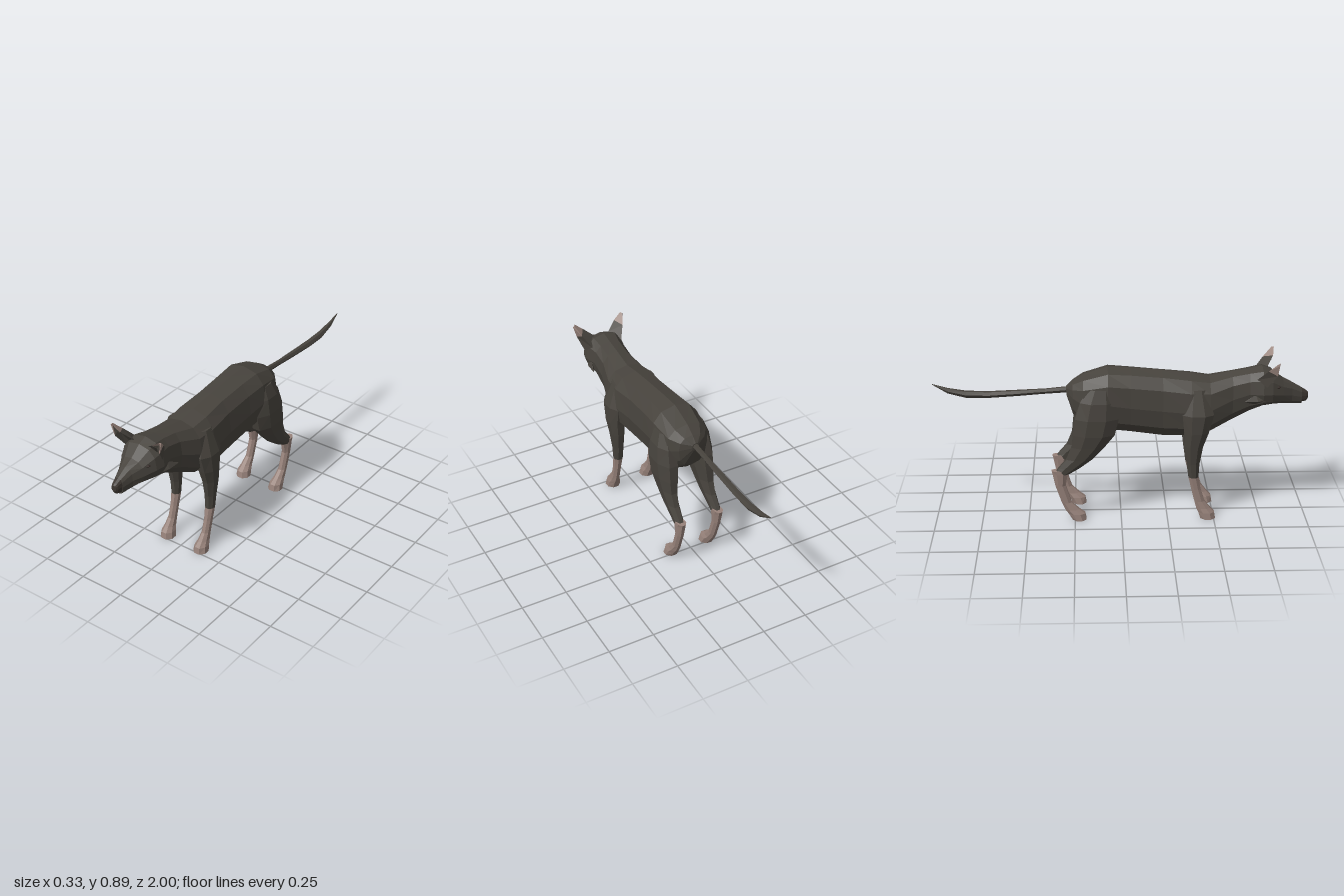
import * as THREE from 'three';

const V = (x, y, z) => new THREE.Vector3(x, y, z);

// Closed faceted skin through equal-sized rings of points, always facing outward.
function loft(rings) {
  const tris = [];
  const n = rings[0].length;
  for (let i = 0; i < rings.length - 1; i++) {
    for (let j = 0; j < n; j++) {
      const k = (j + 1) % n;
      const a = rings[i][j], b = rings[i][k], c = rings[i + 1][k], d = rings[i + 1][j];
      tris.push([a, b, c], [a, c, d]);
    }
  }
  const cap = (ring, flip) => {
    const mid = ring.reduce((s, p) => s.add(p), V(0, 0, 0)).divideScalar(n);
    for (let j = 0; j < n; j++) {
      const p = ring[j], q = ring[(j + 1) % n];
      tris.push(flip ? [mid, q, p] : [mid, p, q]);
    }
  };
  cap(rings[0], true);
  cap(rings[rings.length - 1], false);
  let volume = 0;
  for (const [a, b, c] of tris) volume += a.dot(b.clone().cross(c));
  const points = tris.flatMap(([a, b, c]) => (volume < 0 ? [a, c, b] : [a, b, c]));
  const geometry = new THREE.BufferGeometry().setFromPoints(points);
  geometry.computeVertexNormals();
  return geometry;
}

const pow = (v, e) => Math.sign(v) * Math.abs(v) ** e;

// Upright ring for the trunk and tail: z, top, bottom, half width, height of widest point.
function uprightRing([z, top, bottom, w, mid], n, e) {
  return Array.from({ length: n }, (_, i) => {
    const a = (i / n) * Math.PI * 2, s = pow(Math.sin(a), e);
    return V(w * pow(Math.cos(a), e), mid + s * (s > 0 ? top - mid : mid - bottom), z);
  });
}

// Level ring for the legs: y, centre z, half depth, centre x, half width.
function levelRing([y, z, rz, x, rx], side) {
  return Array.from({ length: 8 }, (_, i) => {
    const a = ((i + 0.5) / 8) * Math.PI * 2;
    return V(side * (x + rx * 1.06 * Math.cos(a)), y, z + rz * 1.06 * Math.sin(a));
  });
}

export function createModel() {
  const model = new THREE.Group();
  const material = (name, color) => {
    const m = new THREE.MeshStandardMaterial({ color, flatShading: true });
    m.name = name;
    return m;
  };
  const fur = material('darkFur', 0x47433d);
  const pale = material('paleFur', 0x97827a);
  const eyeBrown = material('eyeBrown', 0x3a302c);
  const noseDark = material('noseDark', 0x3b3530);

  const add = (name, geometry, mat, parent = model) => {
    const mesh = new THREE.Mesh(geometry, mat);
    mesh.name = name;
    parent.add(mesh);
    return mesh;
  };

  // Trunk, neck and head in one skin
  const trunk = [
    [-0.29, 0.725, 0.68, 0.02, 0.70],
    [-0.255, 0.755, 0.57, 0.08, 0.68],
    [-0.2, 0.79, 0.52, 0.125, 0.66],
    [-0.07, 0.832, 0.49, 0.143, 0.66],
    [0.05, 0.825, 0.475, 0.133, 0.64],
    [0.22, 0.81, 0.45, 0.128, 0.62],
    [0.37, 0.793, 0.453, 0.142, 0.61],
    [0.47, 0.776, 0.473, 0.132, 0.62],
    [0.59, 0.80, 0.535, 0.098, 0.67],
    [0.68, 0.815, 0.585, 0.098, 0.70],
    [0.75, 0.83, 0.62, 0.115, 0.70],
    [0.80, 0.812, 0.627, 0.107, 0.70],
    [0.86, 0.763, 0.627, 0.075, 0.685],
    [0.91, 0.738, 0.619, 0.046, 0.675],
    [0.965, 0.706, 0.615, 0.028, 0.66],
  ];
  add('body', loft(trunk.map((r) => uprightRing(r, 12, 0.8))), fur);
  add('nose', loft([
    [0.963, 0.707, 0.625, 0.027, 0.665],
    [0.99, 0.69, 0.63, 0.02, 0.662],
    [1.0, 0.681, 0.648, 0.014, 0.665],
  ].map((r) => uprightRing(r, 12, 0.8))), noseDark);

  // Tail
  const tail = [
    [-0.26, 0.725, 0.69, 0.016, 0.708],
    [-0.4, 0.711, 0.682, 0.014, 0.697],
    [-0.55, 0.704, 0.671, 0.019, 0.688],
    [-0.7, 0.698, 0.662, 0.021, 0.68],
    [-0.82, 0.702, 0.662, 0.02, 0.682],
    [-0.92, 0.719, 0.689, 0.013, 0.703],
    [-1.0, 0.742, 0.738, 0.002, 0.74],
  ];
  add('tail', loft(tail.map((r) => uprightRing(r, 6, 1))), fur);

  // Legs: dark upper part, pale lower part with paw
  const legs = {
    frontLeg: {
      upper: [
        [0.73, 0.40, 0.05, 0.09, 0.03], [0.6, 0.405, 0.085, 0.115, 0.05],
        [0.5, 0.397, 0.066, 0.118, 0.046], [0.42, 0.385, 0.05, 0.116, 0.038],
        [0.32, 0.383, 0.035, 0.113, 0.029], [0.24, 0.387, 0.027, 0.112, 0.025],
      ],
      lower: [
        [0.24, 0.387, 0.027, 0.112, 0.025], [0.17, 0.402, 0.026, 0.112, 0.021],
        [0.1, 0.422, 0.028, 0.112, 0.021], [0.06, 0.443, 0.038, 0.112, 0.026],
        [0.035, 0.46, 0.044, 0.111, 0.034], [0, 0.469, 0.041, 0.11, 0.039],
      ],
    },
    hindLeg: {
      upper: [
        [0.74, -0.11, 0.07, 0.09, 0.04], [0.67, -0.12, 0.1, 0.098, 0.056],
        [0.58, -0.13, 0.118, 0.104, 0.061], [0.49, -0.147, 0.113, 0.108, 0.054],
        [0.42, -0.178, 0.088, 0.11, 0.042], [0.35, -0.225, 0.069, 0.111, 0.032],
        [0.3, -0.28, 0.057, 0.112, 0.026], [0.265, -0.322, 0.041, 0.112, 0.024],
      ],
      lower: [
        [0.285, -0.338, 0.036, 0.112, 0.025], [0.265, -0.328, 0.041, 0.112, 0.025],
        [0.2, -0.327, 0.028, 0.112, 0.021], [0.1, -0.295, 0.027, 0.112, 0.021],
        [0.06, -0.265, 0.038, 0.112, 0.026], [0.035, -0.24, 0.045, 0.111, 0.034],
        [0, -0.226, 0.038, 0.11, 0.039],
      ],
    },
  };

  for (const side of [1, -1]) {
    const label = side > 0 ? 'left' : 'right';
    const P = (x, y, z) => V(side * x, y, z);

    for (const [name, { upper, lower }] of Object.entries(legs)) {
      const leg = new THREE.Group();
      leg.name = `${label}_${name}`;
      add('upperLeg', loft(upper.map((r) => levelRing(r, side))), fur, leg);
      add('lowerLegAndPaw', loft(lower.map((r) => levelRing(r, side))), pale, leg);
      model.add(leg);
    }

    // Ear: rings run inner edge, back, outer edge, hollow front
    const ear = new THREE.Group();
    ear.name = `${label}_ear`;
    const base = [P(0.045, 0.81, 0.785), P(0.09, 0.78, 0.715), P(0.116, 0.745, 0.765), P(0.085, 0.775, 0.765)];
    const middle = [P(0.099, 0.852, 0.82), P(0.127, 0.838, 0.768), P(0.139, 0.815, 0.815), P(0.114, 0.831, 0.797)];
    const tip = [P(0.143, 0.887, 0.828), P(0.15, 0.885, 0.815), P(0.156, 0.877, 0.822), P(0.15, 0.88, 0.822)];
    add('earBase', loft([base, middle]), fur, ear);
    add('earTip', loft([middle, tip]), pale, ear);
    // Dark lining inside the pale tip
    const lift = V(0, 0, 0.004);
    const toward = (a, b, t) => a.clone().lerp(b, t).add(lift);
    const inner = [toward(middle[0], middle[3], 0.15), toward(middle[3], tip[3], 0),
      toward(middle[2], middle[3], 0.15), toward(middle[3], tip[3], 0.8)];
    const back = inner.map((p) => p.clone().sub(V(0, 0, 0.003)));
    add('earLining', loft([inner, back]), fur, ear);
    model.add(ear);

    // Cheek tuft
    add(`${label}_cheekTuft`, loft([
      [P(0.085, 0.69, 0.78), P(0.1, 0.665, 0.77), P(0.075, 0.64, 0.76)],
      [P(0.1, 0.7, 0.71), P(0.119, 0.667, 0.72), P(0.085, 0.64, 0.71)],
      [P(0.119, 0.671, 0.652), P(0.122, 0.668, 0.652), P(0.118, 0.665, 0.652)],
    ]), fur);

    // Eye
    const eye = add(`${label}_eye`, new THREE.OctahedronGeometry(1), eyeBrown);
    eye.scale.set(0.006, 0.011, 0.017);
    eye.position.set(side * 0.081, 0.732, 0.832);
    eye.rotation.y = side * -0.5;
  }
  return model;
}
